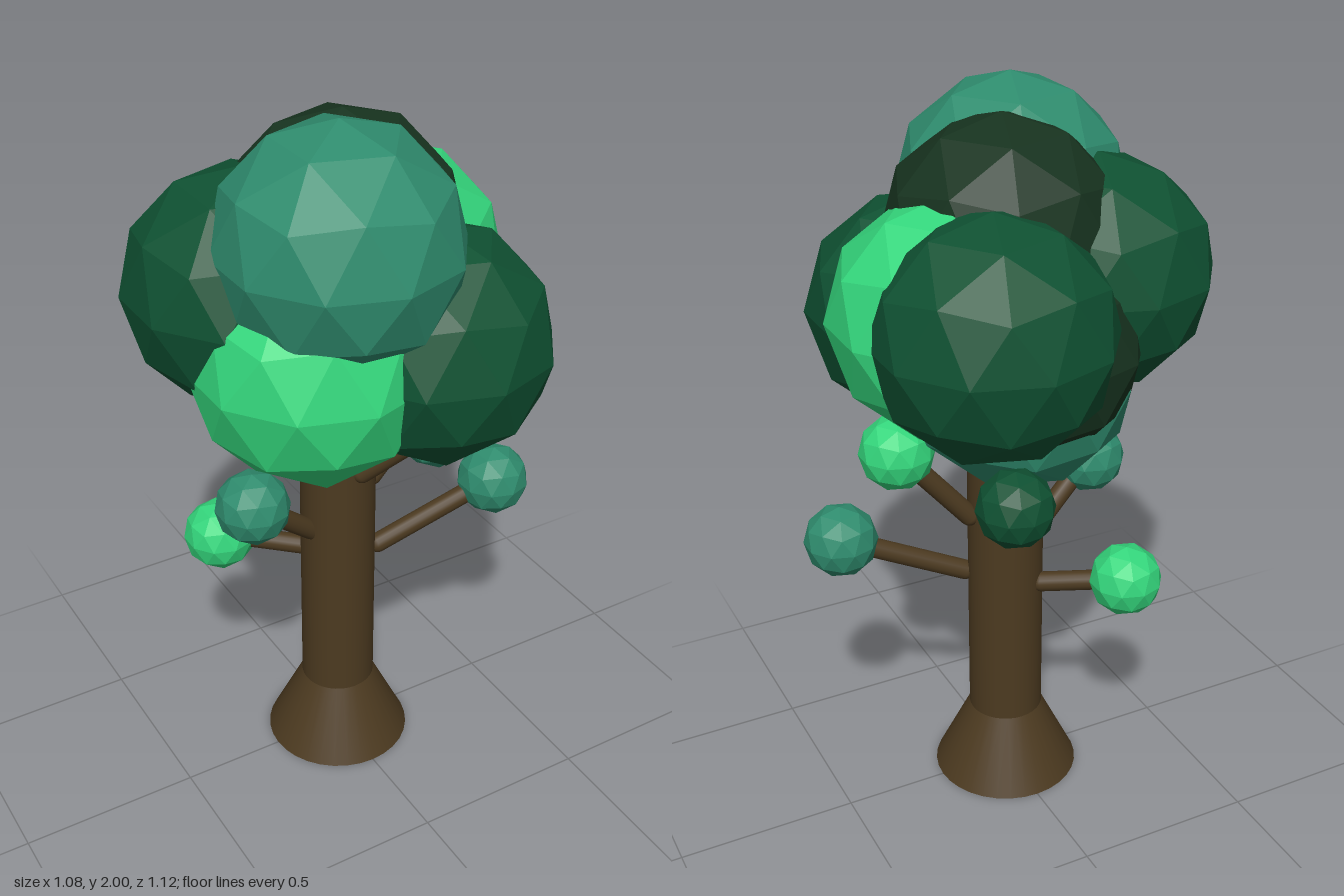
import * as THREE from 'three';

const material = (color, flatShading = false) =>
  new THREE.MeshStandardMaterial({ color, flatShading, roughness: 0.9 });

export function createModel() {
  const tree = new THREE.Group();
  tree.name = 'tree';

  const bark = material(0x4c3a20);
  const leaf = {
    emerald: material(0x34d67c, true),
    teal: material(0x2f8c6e, true),
    forest: material(0x0f5132, true),
    deep: material(0x17331f, true),
  };

  // Faceted ball with a corner pointing straight up
  const ball = new THREE.IcosahedronGeometry(1, 1).rotateZ(-Math.atan(2 / (1 + Math.sqrt(5))));

  const add = (name, geometry, mat) => {
    const mesh = new THREE.Mesh(geometry, mat);
    mesh.name = name;
    tree.add(mesh);
    return mesh;
  };

  const addBall = (name, color, radius, [x, y, z]) => {
    const mesh = add(name, ball, leaf[color]);
    mesh.scale.setScalar(radius);
    mesh.position.set(x, y, z);
  };

  // Trunk and flared root
  add('trunk', new THREE.CylinderGeometry(0.105, 0.105, 0.9, 32), bark).position.y = 0.65;
  add('trunkBase', new THREE.CylinderGeometry(0.105, 0.207, 0.21, 32), bark).position.y = 0.105;

  // Main crown
  const crown = [
    ['teal', [-0.115, 1.687, 0.2]],
    ['deep', [0, 1.637, 0.02]],
    ['forest', [-0.245, 1.52, -0.035]],
    ['forest', [0.155, 1.485, -0.245]],
    ['forest', [0.13, 1.39, 0.243]],
    ['emerald', [0.187, 1.48, -0.067]],
    ['emerald', [-0.17, 1.38, 0.165]],
    ['deep', [0, 1.39, -0.105]],
    ['teal', [-0.01, 1.297, -0.06]],
  ];
  crown.forEach(([color, at], i) => addBall(`crownFoliage${i + 1}`, color, 0.314, at));

  // Side branches, each ending in a small tuft: colour, branch start, tuft centre
  const sideBranches = [
    ['teal', [0.09, 0.65, 0.045], [0.44, 0.805, 0.12]],
    ['teal', [-0.08, 0.74, 0.01], [-0.292, 0.922, 0.055]],
    ['emerald', [-0.06, 0.635, -0.07], [-0.267, 0.665, -0.21]],
    ['emerald', [0.1, 0.845, 0], [0.31, 1.092, 0.015]],
    ['teal', [0.01, 0.94, 0.09], [0.155, 1.12, 0.235]],
    ['forest', [0.03, 0.97, -0.085], [0.155, 1.075, -0.363]],
  ];
  const up = new THREE.Vector3(0, 1, 0);
  sideBranches.forEach(([color, from, to], i) => {
    const start = new THREE.Vector3(...from);
    const end = new THREE.Vector3(...to);
    const along = end.clone().sub(start);
    const branch = add(`branch${i + 1}`, new THREE.CapsuleGeometry(0.028, along.length() - 0.03, 6, 16), bark);
    branch.position.copy(start).addScaledVector(along, 0.5);
    branch.quaternion.setFromUnitVectors(up, along.normalize());
    addBall(`branchTuft${i + 1}`, color, 0.102, to);
  });

  return tree;
}
